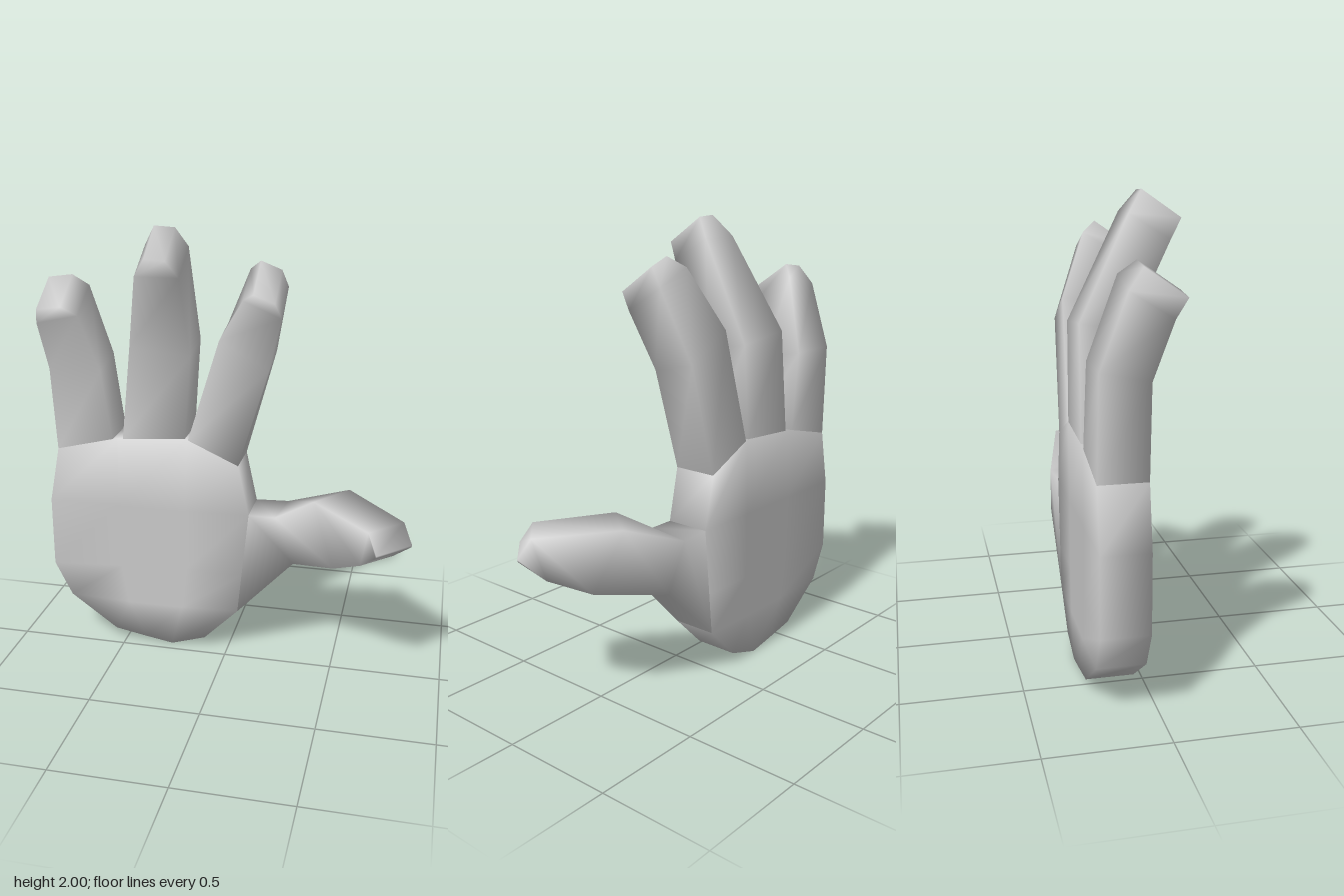
import * as THREE from 'three';

const material = new THREE.MeshStandardMaterial({ color: 0xcccccc });
const BACK = -0.25, FRONT = -0.05;

// Skin a stack of equal rings; optional caps pair opposite ring points.
function loft(name, rings, capStart, capEnd) {
  const n = rings[0].length, index = [];
  for (let r = 0; r < rings.length - 1; r++) {
    for (let k = 0; k < n; k++) {
      const a = r * n + k, b = r * n + (k + 1) % n;
      index.push(a, a + n, b, b, a + n, b + n);
    }
  }
  const last = (rings.length - 1) * n;
  for (let k = 0; k < n / 2 - 1; k++) {
    const a = k, b = k + 1, c = n - 2 - k, d = n - 1 - k;
    if (capStart) index.push(a, b, c, a, c, d);
    if (capEnd) index.push(last + a, last + c, last + b, last + a, last + d, last + c);
  }
  const geometry = new THREE.BufferGeometry();
  geometry.setAttribute('position', new THREE.Float32BufferAttribute(rings.flat(2), 3));
  geometry.setIndex(index);
  geometry.computeVertexNormals();
  const mesh = new THREE.Mesh(geometry, material);
  mesh.name = name;
  return mesh;
}

// Row: left x, y, right x, y of the back edge, its z, and the forward tilt.
function finger(name, rows) {
  const rings = rows.map(([xl, yl, xr, yr, z, tilt]) => {
    const dy = -0.2 * Math.sin(tilt), dz = 0.2 * Math.cos(tilt);
    return [[xl, yl, z], [xr, yr, z], [xr, yr + dy, z + dz], [xl, yl + dy, z + dz]];
  });
  return loft(name, rings, false, true);
}

export function createModel() {
  const hand = new THREE.Group();
  hand.name = 'hand';

  // Palm: rows of four points from wrist to knuckles
  const palmRows = [
    [[-0.55, 0.05], [-0.4, 0.022], [-0.27, 0], [-0.11, 0.05]],
    [[-0.77, 0.21], [-0.48, 0.2], [-0.22, 0.2], [0.05, 0.21]],
    [[-0.85, 0.37], [-0.51, 0.39], [-0.2, 0.4], [0.07, 0.4]],
    [[-0.85, 0.7], [-0.52, 0.7], [-0.2, 0.7], [0.1, 0.705]],
    [[-0.8, 0.96], [-0.51, 1.03], [-0.19, 1.05], [0.05, 0.94]],
  ];
  hand.add(loft('palm', palmRows.map((row) => [
    ...row.map(([x, y]) => [x, y, BACK]),
    ...[...row].reverse().map(([x, y]) => [x, y, FRONT]),
  ]), true, true));

  // Fingers, bent forward with narrowed tips
  hand.add(finger('littleFinger', [
    [-0.8, 0.96, -0.535, 1.025, -0.25, 0],
    [-0.82, 1.38, -0.58, 1.38, -0.245, 0.2],
    [-0.835, 1.67, -0.645, 1.71, -0.14, 0.55],
    [-0.81, 1.75, -0.70, 1.765, -0.08, 0.6],
  ]));
  hand.add(finger('middleFinger', [
    [-0.485, 1.03, -0.195, 1.05, -0.25, 0],
    [-0.44, 1.5, -0.165, 1.47, -0.245, 0.2],
    [-0.35, 1.91, -0.16, 1.91, -0.03, 0.55],
    [-0.29, 2.0, -0.2, 1.995, 0.035, 0.6],
  ]));
  hand.add(finger('indexFinger', [
    [-0.18, 1.045, 0.05, 0.94, -0.25, 0],
    [-0.035, 1.55, 0.185, 1.43, -0.242, 0.2],
    [0.085, 1.81, 0.25, 1.74, -0.13, 0.55],
    [0.14, 1.855, 0.23, 1.82, -0.07, 0.6],
  ]));

  // Thumb: rings of top front, top back, bottom back, bottom front
  hand.add(loft('thumb', [
    [[0.1, 0.705, FRONT], [0.1, 0.705, BACK], [0.05, 0.21, BACK], [0.05, 0.21, FRONT]],
    [[0.22, 0.705, FRONT], [0.25, 0.705, -0.262], [0.34, 0.49, BACK], [0.31, 0.49, -0.04]],
    [[0.4, 0.815, -0.01], [0.54, 0.815, -0.19], [0.63, 0.545, -0.1], [0.5, 0.525, 0.04]],
    [[0.66, 0.79, 0.215], [0.8, 0.79, 0.07], [0.76, 0.61, 0.03], [0.63, 0.62, 0.18]],
    [[0.7, 0.705, 0.255], [0.84, 0.705, 0.11], [0.838, 0.695, 0.108], [0.698, 0.695, 0.253]],
  ], false, true));

  return hand;
}
